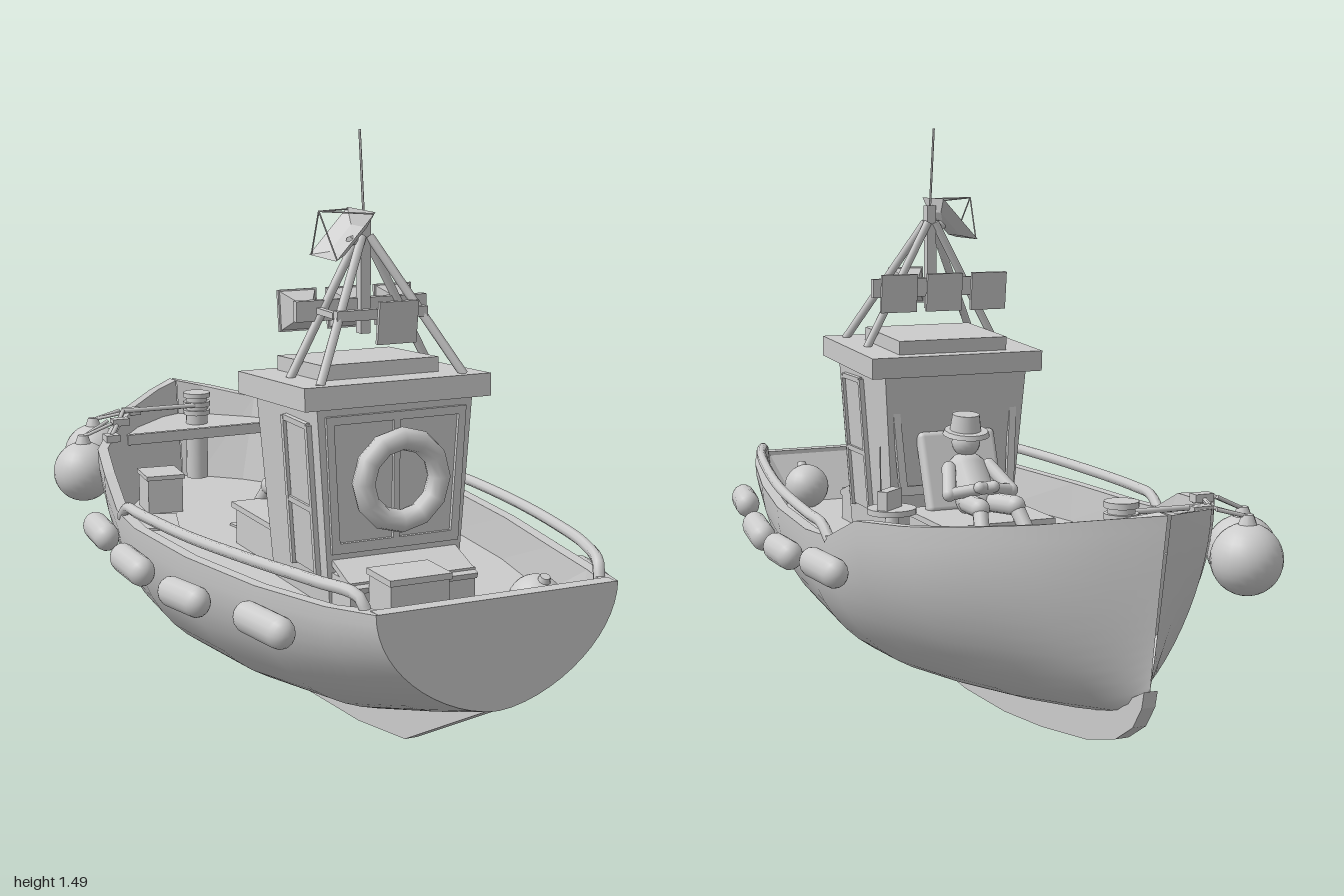
import * as THREE from 'three';
import { RoundedBoxGeometry } from 'three/addons/geometries/RoundedBoxGeometry.js';

const smooth = new THREE.MeshStandardMaterial({ color: 0xcccccc });
const flat = new THREE.MeshStandardMaterial({ color: 0xcccccc, flatShading: true });
const thin = new THREE.MeshStandardMaterial({ color: 0xcccccc, side: THREE.DoubleSide });
const thinFlat = new THREE.MeshStandardMaterial({ color: 0xcccccc, side: THREE.DoubleSide, flatShading: true });
const V = (x, y, z) => new THREE.Vector3(x, y, z);
const DECK = 0.375;

// Hull stations: z, half beam, keel height, sheer height, fullness, rake
const stations = [
  [1, .30, .265, .522, .85, 0], [.85, .348, .215, .505, .92, 0], [.6, .405, .14, .49, 1, 0],
  [.3, .456, .105, .485, 1.1, 0], [0, .478, .088, .485, 1.15, 0], [-.15, .472, .09, .495, 1.12, 0],
  [-.3, .455, .1, .56, 1.08, 0], [-.5, .406, .12, .58, .95, 0], [-.65, .322, .14, .6, .82, .005],
  [-.8, .224, .17, .625, .75, .02], [-.92, .1, .2, .65, .65, .05], [-1, .004, .25, .665, .6, .075],
];

// Half width of a station at height y
function widthAt([, b, k, h, n], y) {
  const t = Math.pow(Math.max(0, (y - k) / (h - k)), 1 / n);
  return b * Math.sqrt(Math.max(0, 1 - (1 - t) ** 2));
}

// Surface through rows of points
function loft(rows) {
  const w = rows[0].length, idx = [];
  for (let i = 0; i < rows.length - 1; i++)
    for (let j = 0; j < w - 1; j++) {
      const a = i * w + j, c = a + w;
      idx.push(a, a + 1, c, a + 1, c + 1, c);
    }
  const g = new THREE.BufferGeometry().setFromPoints(rows.flat());
  g.setIndex(idx);
  g.computeVertexNormals();
  return g;
}

function part(parent, name, geo, pos = [0, 0, 0], rot = [0, 0, 0], mat = smooth) {
  const m = new THREE.Mesh(geo, mat);
  m.name = name;
  m.position.set(...pos);
  m.rotation.set(...rot);
  parent.add(m);
  return m;
}
const box = (p, name, size, pos, rot) => part(p, name, new THREE.BoxGeometry(...size), pos, rot);
const tube = (p, name, pts, r, seg = 30) =>
  part(p, name, new THREE.TubeGeometry(new THREE.CatmullRomCurve3(pts.map(q => V(...q))), seg, r, 8));

// Straight rod or round-ended limb between two points
function link(p, name, a, b, r, round = false, sides = 8) {
  const A = V(...a), B = V(...b), len = A.distanceTo(B);
  const m = part(p, name, round ? new THREE.CapsuleGeometry(r, len, 5, 12) : new THREE.CylinderGeometry(r, r, len, sides));
  m.position.copy(A).lerp(B, .5);
  m.quaternion.setFromUnitVectors(V(0, 1, 0), B.sub(A).normalize());
  return m;
}

function group(parent, name) {
  const g = new THREE.Group();
  g.name = name;
  parent.add(g);
  return g;
}

function buildHull(root) {
  const hull = group(root, 'hull');
  const N = 28;
  const rows = stations.map(([z, b, k, h, n, rake]) => Array.from({ length: N + 1 }, (_, j) => {
    const a = (j / N * 2 - 1) * Math.PI / 2, t = Math.pow(1 - Math.cos(a), n);
    return V(b * Math.sin(a), k + (h - k) * t, z + rake * (1 - t));
  }));
  part(hull, 'hullShell', loft(rows), undefined, undefined, thin);
  part(hull, 'transom', loft([rows[0], rows[0].map(p => V(p.x, .522, 1))]), undefined, undefined, thinFlat);

  // Inner bulwarks, deck and sloped inner transom
  const last = stations.length - 1;
  const inner = stations.map((s, i) => {
    const x = Math.max(s[1] - .03, .001), d = Math.min(x, Math.max(widthAt(s, DECK) - .02, .001));
    const z = i === 0 ? .97 : i === last ? -.955 : s[0], dz = i === 0 ? .89 : z + s[5] * .6;
    return [V(-x, s[3], z), V(-d, DECK, dz), V(d, DECK, dz), V(x, s[3], z)];
  });
  const top = inner[0].map(p => V(p.x, .52, .97));
  part(hull, 'deckAndBulwarks', loft([top, ...inner]), undefined, undefined, thinFlat);
  for (const s of [-1, 1])
    part(hull, 'gunwale', loft(stations.map((q, i) => [V(s * q[1], q[3], q[0]), V(s * inner[i][3].x, q[3], inner[i][3].z)])),
      undefined, undefined, thinFlat);
  box(hull, 'sternCap', [.59, .012, .035], [0, .516, .982]);

  // Keel fin
  const outline = [[.97, .285], [.97, .255], [.6, .06], [.35, .02], [.05, 0], [-.2, .008], [-.42, .032], [-.66, .072],
    [-.8, .115], [-.88, .165], [-.92, .22], [-.93, .26], [-.87, .23], [-.6, .16], [0, .11], [.5, .14]];
  const keel = new THREE.ExtrudeGeometry(new THREE.Shape(outline.map(p => new THREE.Vector2(...p))), { depth: .034, bevelEnabled: false });
  part(hull, 'keel', keel.rotateY(-Math.PI / 2).translate(.017, 0, 0));

  // Bow shelf
  const shelf = [[-.7, .255], [-.8, .185], [-.92, .06], [-.95, .002]];
  part(hull, 'bowShelf', loft(shelf.map(([z, x]) => [V(-x, .565, z), V(x, .565, z)])), undefined, undefined, thinFlat);
  box(hull, 'shelfEdge', [.5, .03, .015], [0, .552, -.7]);

  // Side rails and fenders
  for (const s of [-1, 1]) {
    tube(hull, 'sideRail', [[.29, .5, .94], [.3, .54, .92], [.345, .548, .8], [.393, .543, .6], [.444, .532, .3], [.467, .522, 0],
      [.465, .515, -.09], [.462, .48, -.14]].map(([x, y, z]) => [s * x, y, z]), .014, 50);
    for (const [x, y, z, yaw, tilt] of [[.425, .43, .7, -.2, .03], [.487, .41, .37, -.12, -.06], [.513, .415, .08, -.03, .03], [.5, .43, -.2, .1, -.02]]) {
      const g = new THREE.CapsuleGeometry(.038, .12, 6, 14).rotateX(Math.PI / 2).scale(.9, 1, 1);
      part(hull, 'fender', g, [s * x, y, z], [tilt, s * yaw, 0]);
    }
  }
}

// Trapezoid frame with two window openings
function windowFrame(bottom, topW, y0, y1) {
  const shape = new THREE.Shape([[-bottom, y0], [bottom, y0], [topW, y1], [-topW, y1]].map(p => new THREE.Vector2(...p)));
  for (const s of [-1, 1])
    shape.holes.push(new THREE.Path([[.008, y0 + .025], [bottom - .02, y0 + .025], [topW - .02, y1 - .02], [.008, y1 - .02]]
      .map(([x, y]) => new THREE.Vector2(s * x, y))));
  return new THREE.ExtrudeGeometry(shape, { depth: .012, bevelEnabled: false });
}

function buildCabin(root) {
  const cabin = group(root, 'cabin');
  // Body tapers down at the sides and the back
  const body = new THREE.BoxGeometry(.41, .49, .36), p = body.attributes.position;
  for (let i = 0; i < p.count; i++) if (p.getY(i) < 0) {
    p.setX(i, p.getX(i) * .83);
    if (p.getZ(i) < 0) p.setZ(i, -.145);
  }
  body.computeVertexNormals();
  part(cabin, 'cabinBody', body, [0, .615, .325]);
  part(cabin, 'frontWindows', windowFrame(.168, .185, .51, .84), [0, 0, .502]);
  part(cabin, 'backWindows', windowFrame(.165, .185, -.14, .18), [0, .66, .148], [.071, 0, 0]);
  for (const s of [-1, 1]) {
    const door = group(cabin, 'sideDoor');
    door.position.set(s * .19, .64, .392);
    door.rotation.z = -s * .071;
    box(door, 'doorPanel', [.01, .36, .115], [0, -.01, 0]);
    for (const z of [-.068, .068]) box(door, 'doorPost', [.024, .37, .014], [0, -.01, z]);
    for (const y of [-.03, .172]) box(door, 'doorBar', [.022, .014, .13], [0, y, 0]);
  }
  box(cabin, 'roof', [.49, .055, .395], [0, .876, .328], [-.06, 0, 0]);
  box(cabin, 'roofHatch', [.31, .04, .26], [0, .918, .297], [-.06, 0, 0]);
  part(cabin, 'lifeRing', new THREE.TorusGeometry(.1, .028, 10, 12), [0, .68, .537]);
  box(cabin, 'frontLocker', [.33, .09, .1], [0, .42, .555]);
  box(cabin, 'lockerLid', [.33, .015, .12], [0, .468, .56], [.35, 0, 0]);
  box(cabin, 'sternCrate', [.15, .115, .11], [-.05, .432, .675]);
  box(cabin, 'crateLid', [.16, .015, .12], [-.05, .495, .675]);
}

function buildMast(root) {
  const mast = group(root, 'mast');
  for (const s of [-1, 1]) {
    link(mast, 'frontLeg', [s * .19, .91, .49], [s * .01, 1.235, .34], .011, false, 6);
    link(mast, 'backLeg', [s * .19, .9, .32], [s * .01, 1.235, .32], .011, false, 6);
    box(mast, 'sideBar', [.015, .015, .1], [s * .115, 1.06, .365]);
  }
  box(mast, 'pole', [.026, .28, .026], [0, 1.14, .33]);
  box(mast, 'backCrossbar', [.35, .05, .02], [0, 1.06, .315]);
  box(mast, 'frontCrossbar', [.24, .025, .02], [0, 1.06, .425]);
  link(mast, 'antenna', [0, 1.27, .33], [-.008, 1.487, .32], .003, false, 6);

  // Floodlights
  for (const [x, z, dir] of [[-.13, .265, -1], [0, .265, -1], [.13, .265, -1], [0, .475, 1]]) {
    const g = new THREE.CylinderGeometry(.068, .015, .06, 4).rotateY(Math.PI / 4).rotateX(dir * Math.PI / 2);
    part(mast, 'floodlight', g, [x, 1.055, z], [dir * .12, 0, 0], flat);
    box(mast, 'floodlightRim', [.102, .102, .01], [x, 1.051, z + dir * .033], [dir * .12, 0, 0]);
  }

  // Square dish with feed struts
  const dish = group(mast, 'dish');
  dish.position.set(-.045, 1.225, .345);
  dish.rotation.z = .83;
  const bowl = new THREE.LatheGeometry([[.001, 0], [.06, .006], [.106, .028]].map(q => new THREE.Vector2(...q)), 4);
  part(dish, 'dishBowl', bowl.rotateY(Math.PI / 4), undefined, undefined, thinFlat);
  for (let i = 0; i < 4; i++) {
    const a = Math.PI / 4 + i * Math.PI / 2;
    link(dish, 'feedStrut', [.1 * Math.cos(a), .026, .1 * Math.sin(a)], [0, .11, 0], .002, false, 5);
  }
  link(dish, 'dishArm', [0, 0, 0], [.035, -.03, -.015], .012);
}

function buildSailor(root) {
  const seat = group(root, 'recliner');
  box(seat, 'seatBox', [.29, .1, .26], [0, .425, 0]);
  box(seat, 'seatLid', [.31, .015, .28], [0, .48, 0]);
  part(seat, 'backCushion', new RoundedBoxGeometry(.22, .22, .04, 3, .015), [0, .58, .125], [.35, 0, 0]);

  const man = group(root, 'sailor');
  link(man, 'torso', [0, .52, .02], [0, .59, .08], .048, true).scale.x = 1.15;
  part(man, 'head', new THREE.SphereGeometry(.038, 16, 12), [0, .663, .085]);
  part(man, 'hatBrim', new THREE.CylinderGeometry(.058, .063, .012, 20), [0, .69, .083], [-.15, 0, 0]);
  part(man, 'hatCrown', new THREE.CylinderGeometry(.036, .042, .045, 20), [0, .716, .086], [-.1, 0, 0]);
  for (const s of [-1, 1]) {
    link(man, 'upperArm', [s * .058, .6, .065], [s * .088, .545, -.01], .019, true);
    link(man, 'forearm', [s * .088, .545, -.01], [-s * .02, .565, -.05], .016, true);
    link(man, 'thigh', [s * .03, .515, 0], [s * .05, .525, -.12], .026, true);
    link(man, 'shin', [s * .05, .525, -.12], [s * .07, .43, -.19], .02, true);
    link(man, 'shoe', [s * .07, .405, -.19], [s * .075, .41, -.23], .022, true);
  }

  // Side table with radio
  const table = group(root, 'sideTable');
  part(table, 'tableTop', new THREE.CylinderGeometry(.065, .065, .015, 20), [.21, .495, .09]);
  part(table, 'tableLeg', new THREE.CylinderGeometry(.015, .03, .12, 12), [.21, .435, .09]);
  box(table, 'radio', [.08, .05, .03], [.22, .528, .08], [0, .7, 0]);
  link(table, 'radioAerial', [.25, .54, .065], [.25, .67, .065], .002, false, 5);
}

function buildDeckGear(root) {
  const gear = group(root, 'deckGear');
  // Bollard
  part(gear, 'bollardPost', new THREE.CylinderGeometry(.032, .032, .25, 16), [0, .525, -.785]);
  for (const y of [.6, .625, .652]) part(gear, 'bollardRing', new THREE.CylinderGeometry(.04, .04, .014, 16), [0, y, -.785]);

  // Hanging buoys on looped ropes
  for (const [x, y, z, gx, gz] of [[-.4, .485, -.65, -.32, -.645], [-.32, .5, -.8, -.24, -.775]]) {
    part(gear, 'buoy', new THREE.SphereGeometry(.085, 24, 16), [x, y, z]);
    part(gear, 'buoyNeck', new THREE.CylinderGeometry(.014, .025, .03, 10), [x, y + .09, z]);
    for (const side of [-.02, .02])
      link(gear, 'buoyRope', [x, y + .1, z], [gx, .622, gz + side], .005);
    box(gear, 'cleat', [.05, .02, .03], [gx + .03, .62, gz]);
  }
  for (const [a, b] of [[[0, .625, -.755], [-.24, .625, -.765]], [[-.24, .625, -.765], [-.29, .615, -.66]], [[-.29, .615, -.66], [-.345, .6, -.56]]])
    link(gear, 'mooringRope', a, b, .007);
  box(gear, 'cleat', [.04, .02, .04], [-.345, .595, -.56]);

  // Crate, mats and loose buoy
  box(gear, 'bowCrate', [.1, .1, .11], [-.2, .425, -.56], [0, -.1, 0]);
  box(gear, 'bowCrateLid', [.11, .012, .12], [-.2, .478, -.56], [0, -.1, 0]);
  box(gear, 'mat', [.14, .006, .16], [-.28, .379, -.41], [0, -.3, 0]);
  box(gear, 'mat', [.17, .006, .13], [0, .379, -.25], [0, .15, 0]);
  part(gear, 'looseBuoy', new THREE.SphereGeometry(.065, 20, 14), [.2, .435, .82]);
  part(gear, 'looseBuoyNeck', new THREE.CylinderGeometry(.012, .02, .03, 10), [.205, .49, .845], [.4, 0, 0]);
}

export function createModel() {
  const boat = new THREE.Group();
  boat.name = 'fishingBoat';
  [buildHull, buildCabin, buildMast, buildSailor, buildDeckGear].forEach(build => build(boat));
  return boat;
}
